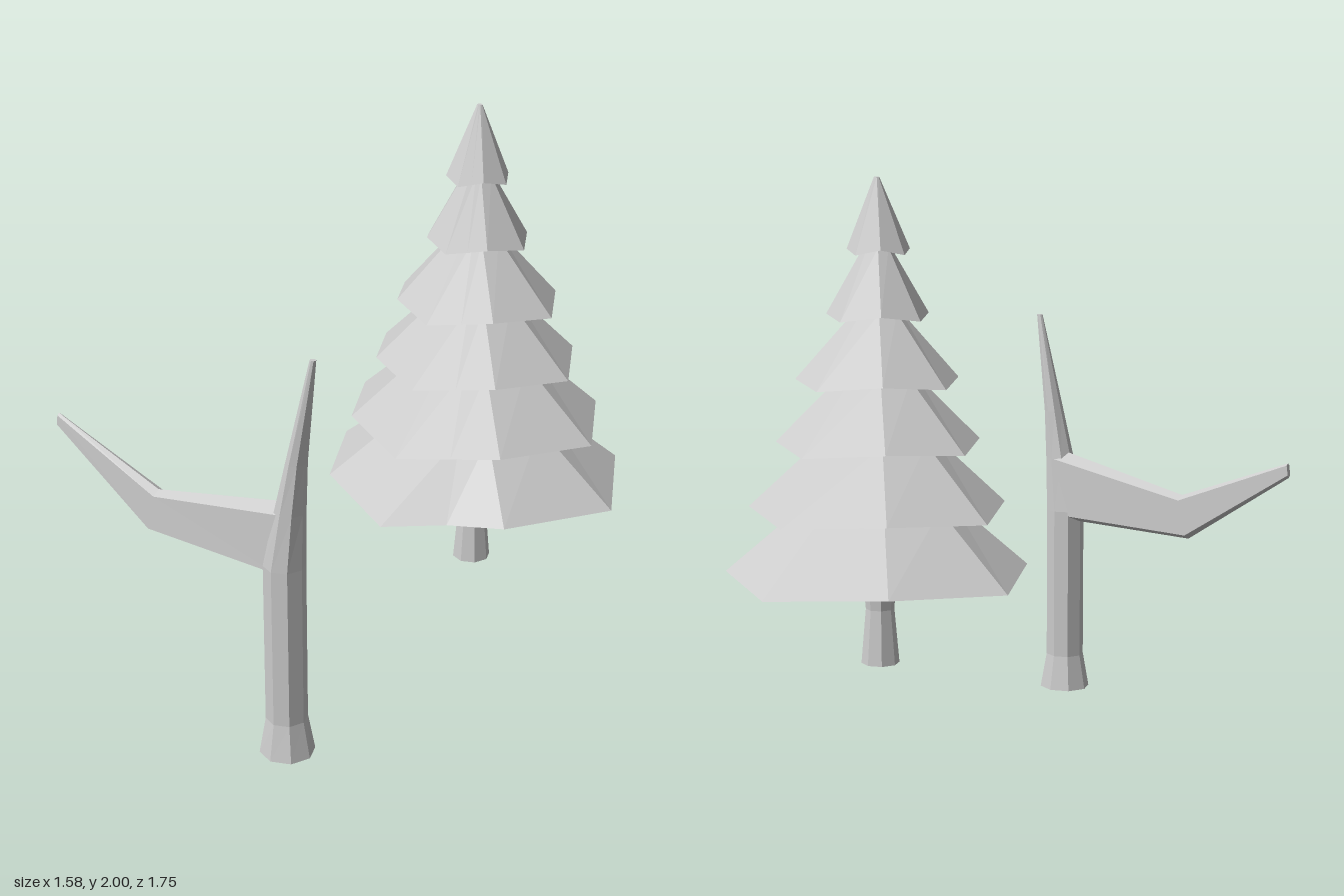
import * as THREE from 'three';

const V = (x, y, z) => new THREE.Vector3(x, y, z);

// Skin a list of equal-length rings and close both ends with fans.
function loft(name, rings) {
  const pos = [];
  const tri = (...pts) => pts.forEach((p) => pos.push(p.x, p.y, p.z));
  const n = rings[0].length;
  for (let r = 0; r < rings.length - 1; r++) {
    const a = rings[r], b = rings[r + 1];
    for (let i = 0; i < n; i++) {
      const j = (i + 1) % n;
      tri(a[i], a[j], b[j]);
      tri(a[i], b[j], b[i]);
    }
  }
  const cap = (ring, flip) => {
    const c = V(0, 0, 0);
    ring.forEach((p) => c.addScaledVector(p, 1 / n));
    for (let i = 0; i < n; i++) {
      const p = ring[i], q = ring[(i + 1) % n];
      if (flip) tri(c, q, p);
      else tri(c, p, q);
    }
  };
  cap(rings[0], true);
  cap(rings[rings.length - 1], false);
  const geo = new THREE.BufferGeometry();
  geo.setAttribute('position', new THREE.Float32BufferAttribute(pos, 3));
  geo.computeVertexNormals();
  const mesh = new THREE.Mesh(geo, new THREE.MeshStandardMaterial({ color: 0xcccccc, flatShading: true }));
  mesh.name = name;
  return mesh;
}

// Horizontal eight-sided ring with separate x and z radii.
function octagon(x, y, z, rx, rz = rx) {
  return Array.from({ length: 8 }, (_, i) => {
    const a = (i * Math.PI) / 4;
    return V(x + rx * Math.cos(a), y, z - rz * Math.sin(a));
  });
}

// Foliage ring: drooping points on the axes, shorter raised corners between,
// and one extra point on the front left edge that can be dented inwards.
function foliageRing(x, y, z, r, lift, dent) {
  const points = [];
  for (let i = 0; i < 8; i++) {
    const odd = i % 2;
    points.push([i * 45, odd ? 0.915 : 1, odd ? lift : 0]);
    if (i === 6) points.push([292.6, dent, lift / 2]);
  }
  return points.map(([deg, f, up]) => {
    const a = THREE.MathUtils.degToRad(deg);
    return V(x + r * f * Math.cos(a), y + up, z - r * f * Math.sin(a));
  });
}

function createPine() {
  const pine = new THREE.Group();
  pine.name = 'pineTree';

  // Tiers: centre x, centre z, tip height, tip radius, upper radius
  const tiers = [
    [0.213, -0.297, 0.635, 0.574, 0.275],
    [0.215, -0.292, 0.86, 0.485, 0.215],
    [0.218, -0.283, 1.082, 0.385, 0.145],
    [0.223, -0.28, 1.297, 0.307, 0.088],
    [0.223, -0.275, 1.52, 0.192, 0.052],
    [0.223, -0.269, 1.74, 0.118, 0.01],
  ];
  const rings = [];
  tiers.forEach(([x, z, y, r, inner], i) => {
    const next = tiers[i + 1];
    rings.push(foliageRing(x, y, z, r, 0.018, i === 0 ? 0.84 : 0.885));
    rings.push(foliageRing(0.225, next ? next[2] + 0.022 : 2, -0.273, inner, 0, 0.885));
  });
  pine.add(loft('pineFoliage', rings));

  // Waisted trunk
  const trunk = [[0.305, 0.067], [0.5, 0.05], [0.68, 0.066]];
  pine.add(loft('pineTrunk', trunk.map(([y, r]) => octagon(0.225, y, -0.272, r))));
  return pine;
}

function createBareTree() {
  const tree = new THREE.Group();
  tree.name = 'bareTree';

  // Trunk with flared foot, bending into a thin point: height, x, x radius, z radius
  const trunk = [
    [0, 0.195, 0.095, 0.093],
    [0.13, 0.195, 0.071, 0.071],
    [0.7, 0.197, 0.071, 0.071],
    [0.9, 0.224, 0.051, 0.056],
    [1.08, 0.253, 0.033, 0.041],
    [1.445, 0.324, 0.011, 0.01],
  ];
  tree.add(loft('bareTrunk', trunk.map(([y, x, rx, rz]) => octagon(x, y, 0.783, rx, rz))));

  // Side branch, ridged above and below: upper x, lower x, top, shoulder, hip, bottom, half width
  const branch = [
    [0.215, 0.2, 0.93, 0.9, 0.685, 0.662, 0.05],
    [-0.34, -0.37, 0.817, 0.8, 0.672, 0.656, 0.028],
    [-0.785, -0.79, 0.982, 0.975, 0.94, 0.93, 0.009],
  ];
  const z = 0.78;
  tree.add(loft('bareBranch', branch.map(([xu, xl, top, sh, hip, bot, w]) => [
    V(xu, top, z), V(xu, sh, z - w), V(xl, hip, z - w),
    V(xl, bot, z), V(xl, hip, z + w), V(xu, sh, z + w),
  ])));
  return tree;
}

export function createModel() {
  const model = new THREE.Group();
  model.name = 'trees';
  model.add(createPine(), createBareTree());
  return model;
}
